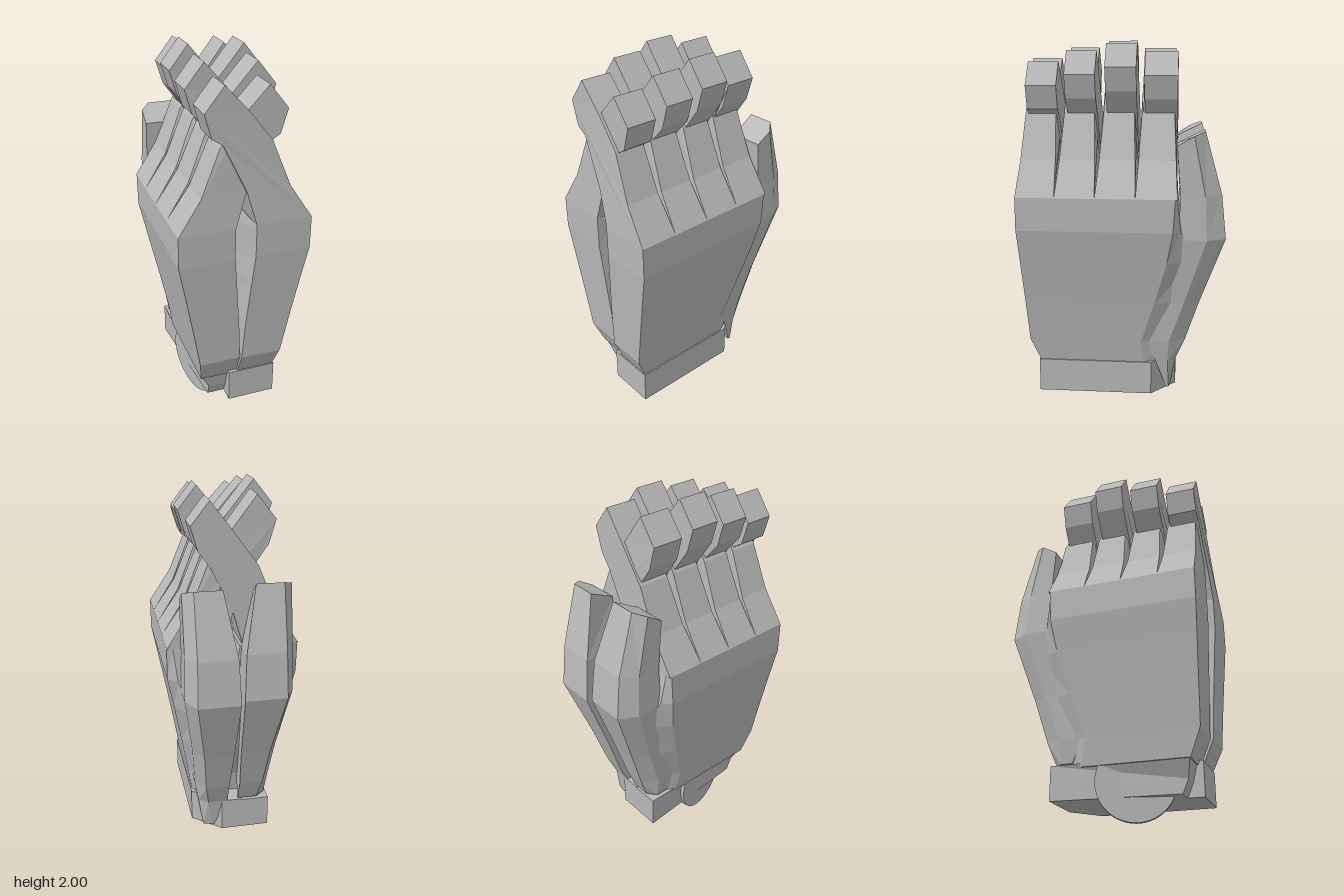
import * as THREE from 'three';

const grey = new THREE.MeshStandardMaterial({ color: 0xb8b8b8 });
grey.name = 'grey';

function mesh(geo, name) {
  const g = geo.index ? geo.toNonIndexed() : geo;
  g.computeVertexNormals();
  const m = new THREE.Mesh(g, grey);
  m.name = name;
  return m;
}

// Joins rings of [x, y, z] corners, bottom to top, and caps both ends.
function loft(rings, side, sy, sz) {
  const n = rings[0].length, pos = [], idx = [];
  const tri = (a, b, c) => (side > 0 ? idx.push(a, b, c) : idx.push(a, c, b));
  rings.forEach(r => r.forEach(p => pos.push(p[0] * side, p[1] * sy, p[2] * sz)));
  for (let i = 0; i < rings.length - 1; i++) {
    for (let j = 0; j < n; j++) {
      const a = i * n + j, b = i * n + (j + 1) % n;
      tri(a, b, b + n);
      tri(a, b + n, a + n);
    }
  }
  const top = (rings.length - 1) * n;
  for (let j = 1; j < n - 1; j++) {
    tri(0, j + 1, j);
    tri(top, top + j, top + j + 1);
  }
  const g = new THREE.BufferGeometry();
  g.setAttribute('position', new THREE.Float32BufferAttribute(pos, 3));
  g.setIndex(idx);
  return g;
}

// Palm levels: y, inner x, outer x, front z, back z, inner x at mid depth, rear bevel in x and z
const PALM = [
  [0.28, 0, 0.2, 0.44, -0.18, 0, 0.03, 0.06],
  [0.42, 0.002, 0.222, 0.5, -0.2, 0, 0.04, 0.1],
  [0.65, 0.015, 0.262, 0.512, -0.3, 0, 0.055, 0.13],
  [0.88, 0.035, 0.305, 0.525, -0.375, 0, 0.09, 0.14],
  [1.05, 0.05, 0.338, 0.535, -0.305, 0.005, 0.05, 0.04],
  [1.22, 0.05, 0.338, 0.535, -0.285, 0.035, 0.03, 0.01],
];

// Thumb levels: y, inner x, outer x, front z, back z, rise of the back edge
const THUMB = [
  [0.14, 0.1, 0.16, -0.235, -0.26, 0],
  [0.3, 0.03, 0.185, -0.18, -0.285, 0],
  [0.42, 0.03, 0.205, -0.12, -0.335, 0],
  [0.65, 0.02, 0.225, -0.2, -0.41, 0],
  [1.0, 0.01, 0.275, -0.29, -0.535, 0],
  [1.21, 0.02, 0.27, -0.3, -0.51, 0.02],
  [1.48, 0.08, 0.27, -0.28, -0.42, 0.07],
];

// Fingers: base z range, tip z range, tip shift in x and y
const FINGERS = [
  ['littleFinger', 0.335, 0.535, 0.352, 0.51, 0.035, -0.09],
  ['ringFinger', 0.13, 0.335, 0.152, 0.307, 0.01, -0.035],
  ['middleFinger', -0.075, 0.13, -0.055, 0.102, 0, 0],
  ['indexFinger', -0.285, -0.075, -0.262, -0.095, 0.03, -0.04],
];

function finger(f, side, sy, sz) {
  const [name, b0, b1, t0, t1, dx, dy] = f;
  // Bent profile that crosses over to the opposite side
  const pts = [
    [0.05, 1.22], [0.338, 1.22], [0.22, 1.4], [0.125, 1.635], [0, 1.82 + dy * 0.3],
    [-0.145 + dx, 2 + dy], [-0.24 + dx, 1.88 + dy], [-0.205 + dx, 1.76 + dy],
    [-0.115, 1.635], [0, 1.395],
  ];
  const shape = new THREE.Shape(pts.map(p => new THREE.Vector2(p[0] * side, p[1])));
  const g = new THREE.ExtrudeGeometry(shape, { depth: 1, bevelEnabled: false });
  // Narrow the finger from knuckle to tip; the right hand's tips sit slightly further back
  const back = side > 0 ? 0 : 0.016;
  const p = g.attributes.position;
  for (let i = 0; i < p.count; i++) {
    const k = Math.min(1, (p.getY(i) - 1.22) / 0.4);
    const lo = THREE.MathUtils.lerp(b0 * sz, t0 - back, k);
    const hi = THREE.MathUtils.lerp(b1 * sz, t1 - back, k);
    p.setY(i, p.getY(i) * sy);
    p.setZ(i, lo + (hi - lo) * p.getZ(i));
  }
  return mesh(g, name);
}

function hand(side) {
  const g = new THREE.Group();
  g.name = side > 0 ? 'leftHand' : 'rightHand';
  const sy = side > 0 ? 1 : 0.99, sz = side > 0 ? 1 : 0.97;

  // Palm with a hollow towards the front and a bulge at the thumb root
  const palm = PALM.map(([y, xi, xo, zf, zb, xm, bx, bz]) =>
    [[xi, y, zf], [xo, y, zf], [xo, y, zb + bz], [xo - bx, y, zb], [xm, y, zb], [xm, y, 0.1]]);
  g.add(mesh(loft(palm, side, sy, sz), 'palm'));

  // Only the left thumb root reaches down into the cuff
  const thumb = THUMB.slice(side > 0 ? 0 : 1).map(([y, xi, xo, zf, zb, rise]) => {
    const zm = zf + (zb - zf) * 0.6;
    return [[xi + 0.02, y, zf], [xo, y, zf], [xo, y + rise * 0.7, zm],
      [xo - 0.05, y + rise, zb], [xi, y + rise, zb]];
  });
  g.add(mesh(loft(thumb, side, side > 0 ? 1 : 1.012, sz), 'thumb'));

  FINGERS.forEach(f => g.add(finger(f, side, sy, sz)));
  return g;
}

export function createModel() {
  const model = new THREE.Group();
  model.name = 'claspedHands';
  model.add(hand(1), hand(-1));

  // Cuff block with a cut rear corner
  const plan = new THREE.Shape([[-0.05, -0.455], [0.21, -0.455], [0.21, 0.155], [0.06, 0.285], [-0.05, 0.285]]
    .map(p => new THREE.Vector2(p[0], p[1])));
  const cuff = new THREE.ExtrudeGeometry(plan, { depth: 0.18, bevelEnabled: false });
  cuff.rotateX(-Math.PI / 2).translate(0, 0.12, 0);
  model.add(mesh(cuff, 'cuff'));

  // Wrist block of the other hand, tapering towards the front
  const wrist = [[0.12, 0.145, 0.37], [0.19, 0.145, 0.4], [0.295, 0.2, 0.425]].map(([y, x, z]) =>
    [[0.04, y, z], [x, y, z], [0.2, y, -0.285], [0.04, y, -0.285]]);
  model.add(mesh(loft(wrist, -1, 1, 1), 'wristBlock'));

  // Round button on the wrist
  const disc = new THREE.CylinderGeometry(0.2, 0.2, 0.025, 40);
  disc.rotateZ(Math.PI / 2).rotateY(0.25).translate(-0.14, 0.2, 0.14);
  model.add(mesh(disc, 'wristDisc'));

  return model;
}
